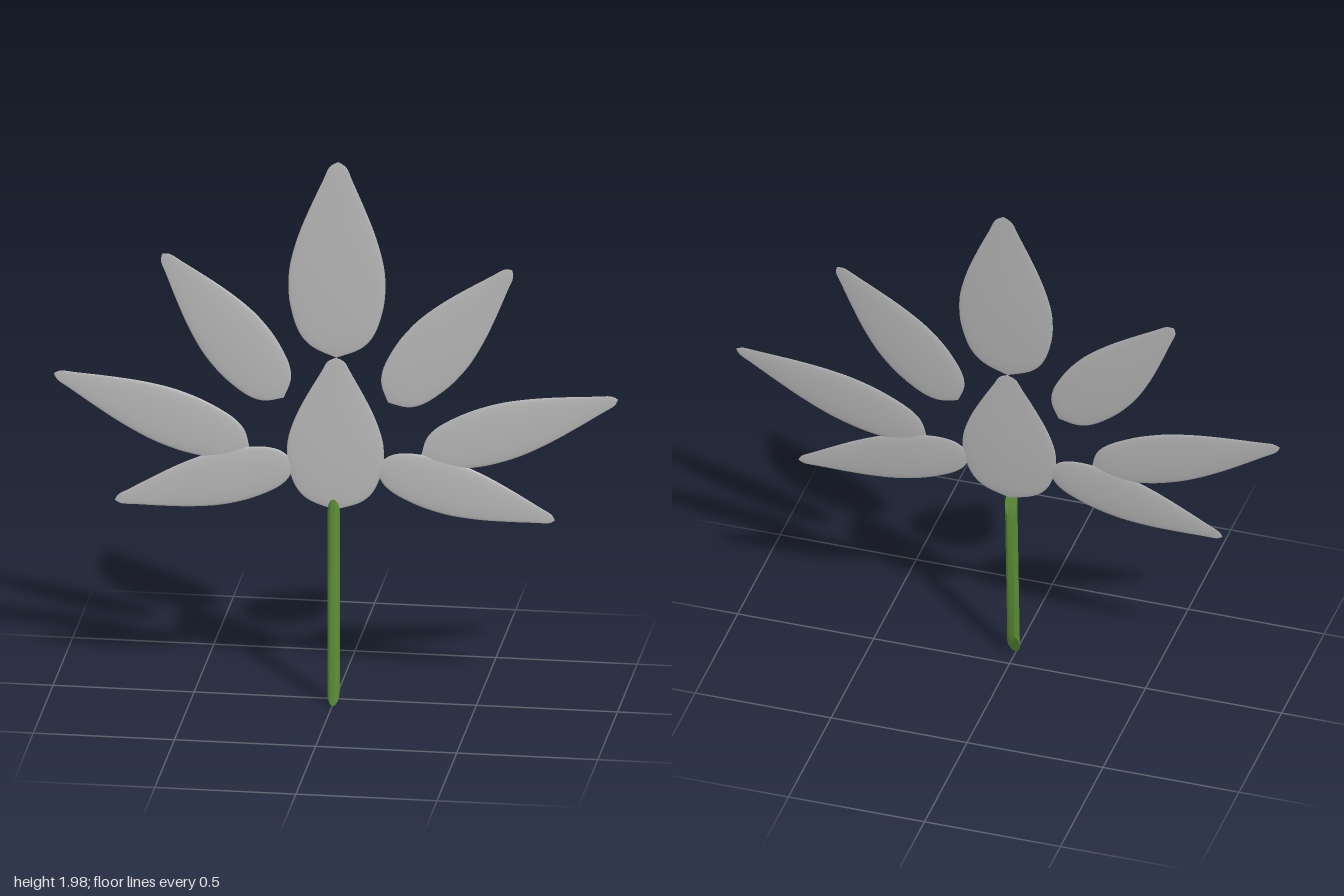
import * as THREE from 'three';
import { toCreasedNormals } from 'three/addons/utils/BufferGeometryUtils.js';

export function createModel() {
  const model = new THREE.Group();
  model.name = 'flower';

  const petalGrey = new THREE.MeshStandardMaterial({ color: 0xb4b4b4 });
  petalGrey.name = 'petal grey';
  const stemGreen = new THREE.MeshStandardMaterial({ color: 0x5a8c35 });
  stemGreen.name = 'stem green';

  // Unit teardrop: half-width against length, rounded base to narrow tip
  const profile = new THREE.SplineCurve([
    [0, 0], [0.5, 0.05], [0.79, 0.13], [0.96, 0.26], [1, 0.37], [0.96, 0.48],
    [0.8, 0.62], [0.57, 0.76], [0.31, 0.9], [0.18, 0.97], [0, 1],
  ].map(([r, t]) => new THREE.Vector2(r, t))).getPoints(40);
  profile.forEach((p) => { p.x = Math.max(p.x, 0); });
  const petalGeometry = new THREE.LatheGeometry(profile, 32);

  // All petals lie in one plane that leans back
  const petals = new THREE.Group();
  petals.name = 'petals';
  petals.rotation.x = -0.064;
  petals.position.z = 0.055;
  model.add(petals);

  function addPetal(name, bx, by, tx, ty, halfWidth) {
    const petal = new THREE.Mesh(petalGeometry, petalGrey);
    petal.name = name;
    petal.position.set(bx, by, 0);
    petal.rotation.z = Math.atan2(bx - tx, ty - by);
    petal.scale.set(halfWidth, Math.hypot(tx - bx, ty - by), 0.009);
    petals.add(petal);
  }

  addPetal('topPetal', 0, 1.265, 0, 1.98, 0.172);
  addPetal('centrePetal', 0, 0.71, 0, 1.265, 0.172);
  for (const [side, s] of [['left', 1], ['right', -1]]) {
    addPetal(side + 'UpperPetal', s * 0.185, 1.11, s * 0.62, 1.615, 0.122);
    addPetal(side + 'MiddlePetal', s * 0.305, 0.925, s * 1.0, 1.16, 0.104);
    addPetal(side + 'LowerPetal', s * 0.145, 0.875, s * 0.78, 0.708, 0.097);
  }

  // Leaning stem with both ends cut on a slant
  const stemGeometry = new THREE.CylinderGeometry(1, 1, 1, 24);
  const pos = stemGeometry.attributes.position;
  for (let i = 0; i < pos.count; i++) {
    const top = pos.getY(i) > 0;
    const front = (pos.getZ(i) + 1) / 2;
    const y = top ? 0.64 + 0.11 * front : 0.1 * (1 - front);
    const z = top ? -0.012 + 0.034 * front : 0.028 + 0.05 * front;
    pos.setXYZ(i, pos.getX(i) * 0.022 + (top ? -0.004 : 0.002), y, z);
  }
  const stem = new THREE.Mesh(toCreasedNormals(stemGeometry, 0.6), stemGreen);
  stem.name = 'stem';
  model.add(stem);

  return model;
}
